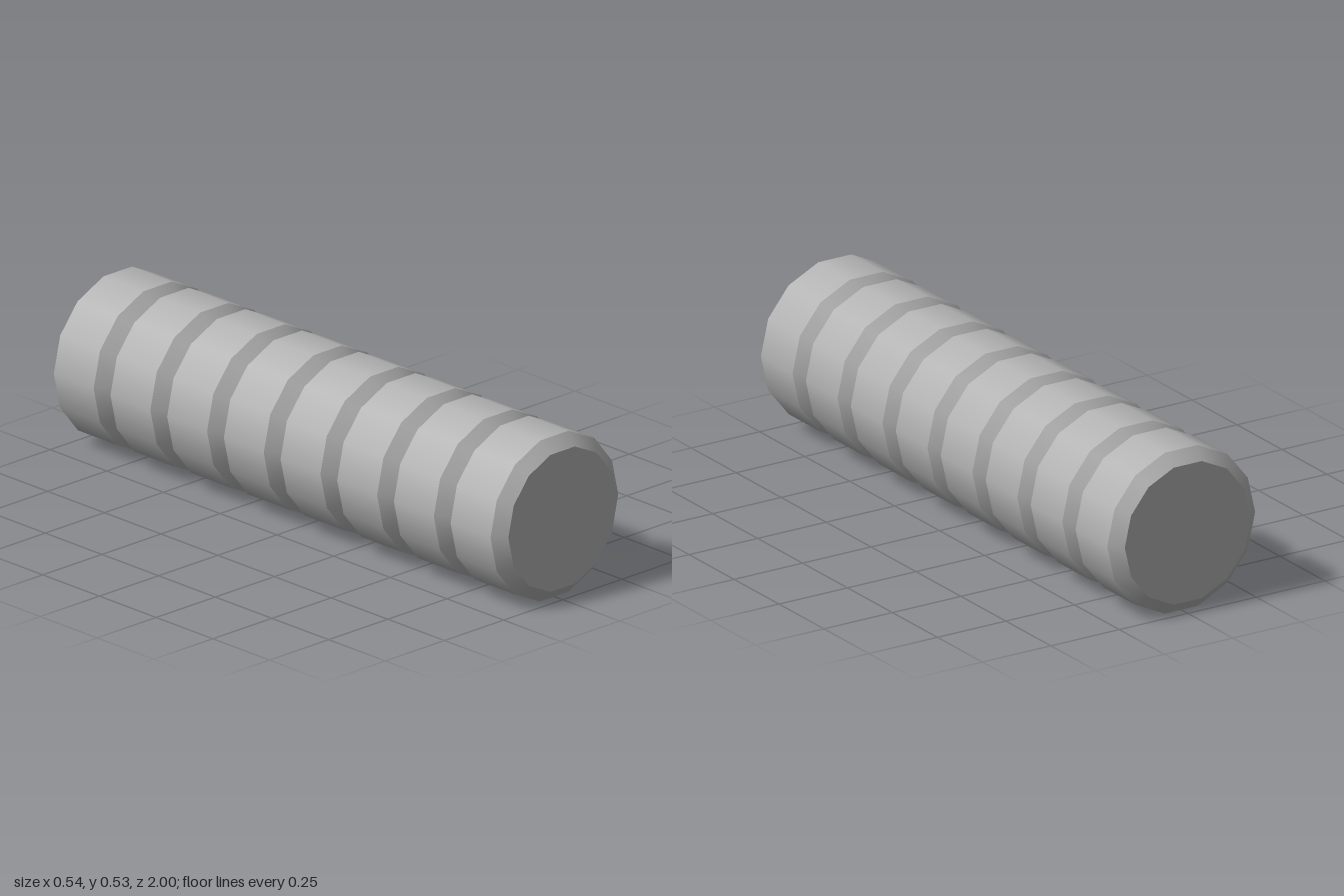
import * as THREE from 'three';
import { mergeGeometries } from 'three/addons/utils/BufferGeometryUtils.js';

const SIDES = 14, SEGMENTS = 8, LENGTH = 2 / SEGMENTS;
const OUTER = 0.27, INNER = 0.23, BEVEL = 0.037;

// One open ring along z, smooth around and sharp at both rims
function ring(frontRadius, backRadius, depth, z) {
  const g = new THREE.CylinderGeometry(frontRadius, backRadius, depth, SIDES, 1, true, Math.PI / 2);
  return g.rotateX(Math.PI / 2).translate(0, 0, z);
}

export function createModel() {
  const model = new THREE.Group();
  model.name = 'ribbedCylinder';
  const grey = new THREE.MeshStandardMaterial({ color: 0xb3b3b3 });
  grey.name = 'grey';
  const centreY = OUTER * Math.cos(Math.PI / SIDES);

  function add(name, geometry, z) {
    const mesh = new THREE.Mesh(geometry, grey);
    mesh.name = name;
    mesh.position.set(0, centreY, z);
    model.add(mesh);
    return mesh;
  }

  // Bevelled segment: chamfer, straight band, chamfer
  const offset = (LENGTH - BEVEL) / 2;
  const segment = mergeGeometries([
    ring(INNER, OUTER, BEVEL, offset),
    ring(OUTER, OUTER, LENGTH - 2 * BEVEL, 0),
    ring(OUTER, INNER, BEVEL, -offset),
  ]);
  for (let i = 0; i < SEGMENTS; i++) {
    add(`segment${i + 1}`, segment, 1 - LENGTH * (i + 0.5));
  }

  // Flat ends
  const cap = new THREE.CircleGeometry(INNER, SIDES);
  add('frontCap', cap, 1);
  add('backCap', cap, -1).rotation.y = Math.PI;

  return model;
}
